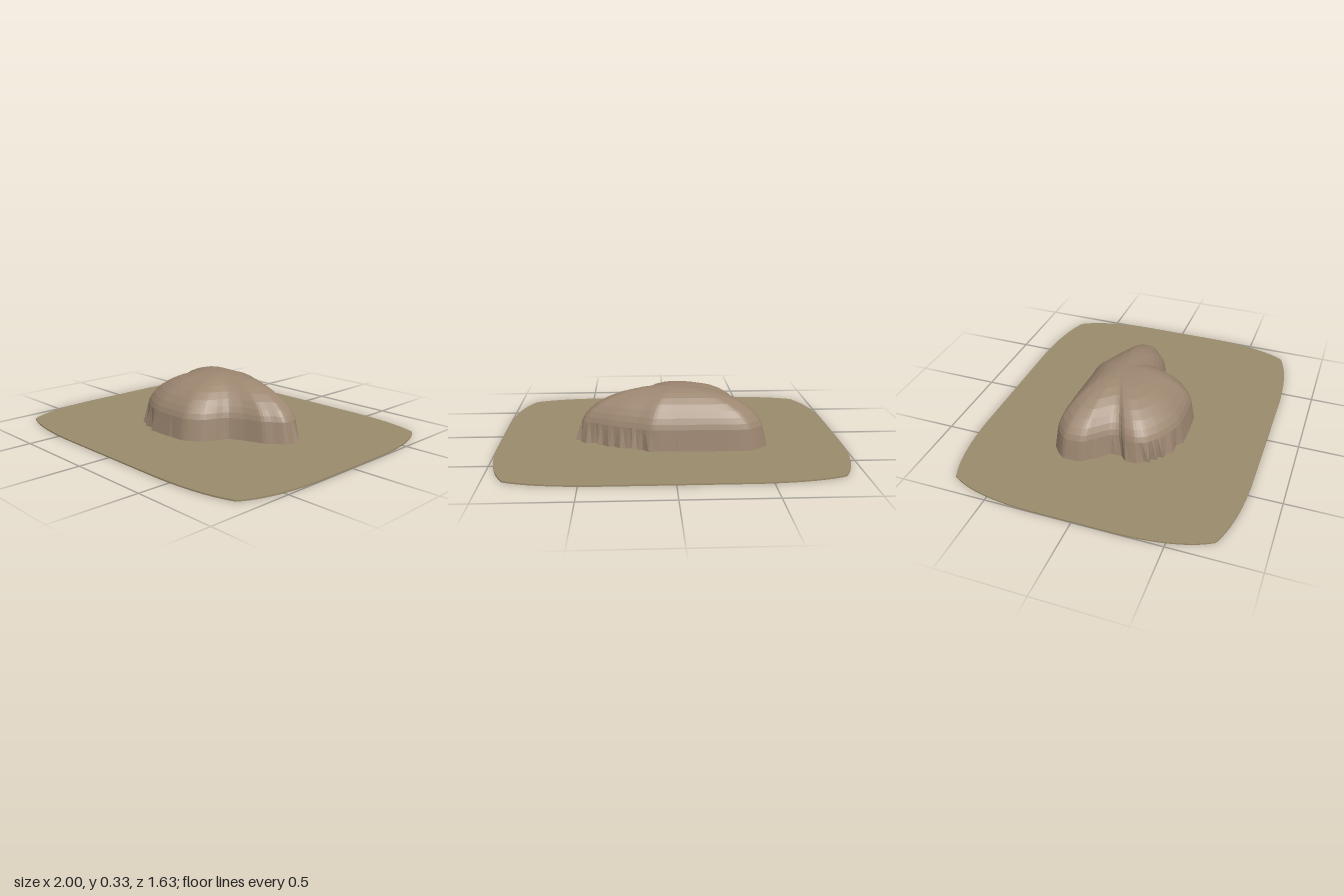
import * as THREE from 'three';

// Thin ground plate with bowed sides and four blunt corners
function createPlate() {
  const s = new THREE.Shape();
  s.moveTo(0.4, 0.815);
  s.lineTo(-0.4, 0.815);
  s.quadraticCurveTo(-0.72, 0.81, -0.89, 0.735);
  s.quadraticCurveTo(-0.99, 0.58, -1, 0.25);
  s.lineTo(-1, -0.25);
  s.quadraticCurveTo(-0.99, -0.58, -0.89, -0.735);
  s.quadraticCurveTo(-0.72, -0.81, -0.4, -0.815);
  s.lineTo(0.4, -0.815);
  s.quadraticCurveTo(0.72, -0.81, 0.89, -0.735);
  s.quadraticCurveTo(0.99, -0.58, 1, -0.25);
  s.lineTo(1, 0.25);
  s.quadraticCurveTo(0.99, 0.58, 0.89, 0.735);
  s.quadraticCurveTo(0.72, 0.81, 0.4, 0.815);
  const geo = new THREE.ExtrudeGeometry(s, { depth: 0.008, bevelEnabled: false, curveSegments: 12 });
  geo.rotateX(-Math.PI / 2);
  const mesh = new THREE.Mesh(geo, new THREE.MeshStandardMaterial({ color: 0x9b8b6b, flatShading: true }));
  mesh.name = 'groundPlate';
  return mesh;
}

// Lobed mound: the footprint shrinks towards the summit in rings
function createMound() {
  const cx = -0.03, cz = -0.08, count = 144, cell = 0.033;
  const footprint = [
    [0.54, -0.03], [0.48, 0.02], [0.43, 0.06], [0.32, 0.1], [0.23, 0.15], [0.2, 0.22],
    [0.16, 0.29], [0.06, 0.355], [-0.18, 0.355], [-0.28, 0.325], [-0.36, 0.28], [-0.43, 0.22],
    [-0.455, 0.16], [-0.45, 0.09], [-0.42, 0.05], [-0.43, 0], [-0.5, -0.08], [-0.55, -0.14],
    [-0.55, -0.25], [-0.46, -0.33], [-0.33, -0.34], [0, -0.33], [0.12, -0.33], [0.22, -0.285],
    [0.36, -0.225], [0.46, -0.17], [0.54, -0.12],
  ].map(([x, z]) => new THREE.Vector3(x, 0, z));
  const outline = new THREE.CatmullRomCurve3(footprint, true, 'catmullrom', 0.3)
    .getSpacedPoints(count).slice(0, count);

  // Share of the footprint radius, and height
  const rings = [[0.1, 0.329], [0.25, 0.323], [0.4, 0.311], [0.55, 0.29], [0.68, 0.262],
    [0.79, 0.228], [0.87, 0.192], [0.92, 0.16], [0.95, 0.13], [1, 0.004]];

  const pos = [cx, 0.33, cz], index = [];
  const snap = (v) => Math.round(v / cell) * cell;
  rings.forEach(([t, y], j) => {
    outline.forEach((p, i) => {
      let dx = p.x - cx, dz = p.z - cz;
      // The foot is stepped on the two ragged flanks
      if (j === rings.length - 1 && dx * dz < 0) {
        dx = snap(p.x) - cx;
        dz = snap(p.z) - cz;
      }
      pos.push(cx + dx * t, y, cz + dz * t);
      const n = (i + 1) % count, a = 1 + j * count;
      if (j === 0) index.push(0, a + n, a + i);
      else {
        const b = a - count;
        index.push(b + i, b + n, a + i, b + n, a + n, a + i);
      }
    });
  });

  const geo = new THREE.BufferGeometry();
  geo.setAttribute('position', new THREE.Float32BufferAttribute(pos, 3));
  geo.setIndex(index);
  geo.computeVertexNormals();
  const mesh = new THREE.Mesh(geo, new THREE.MeshStandardMaterial({
    color: 0x9c8670, flatShading: true, side: THREE.DoubleSide,
  }));
  mesh.name = 'mound';
  return mesh;
}

export function createModel() {
  const group = new THREE.Group();
  group.name = 'moundOnPlate';
  group.add(createPlate(), createMound());
  return group;
}
